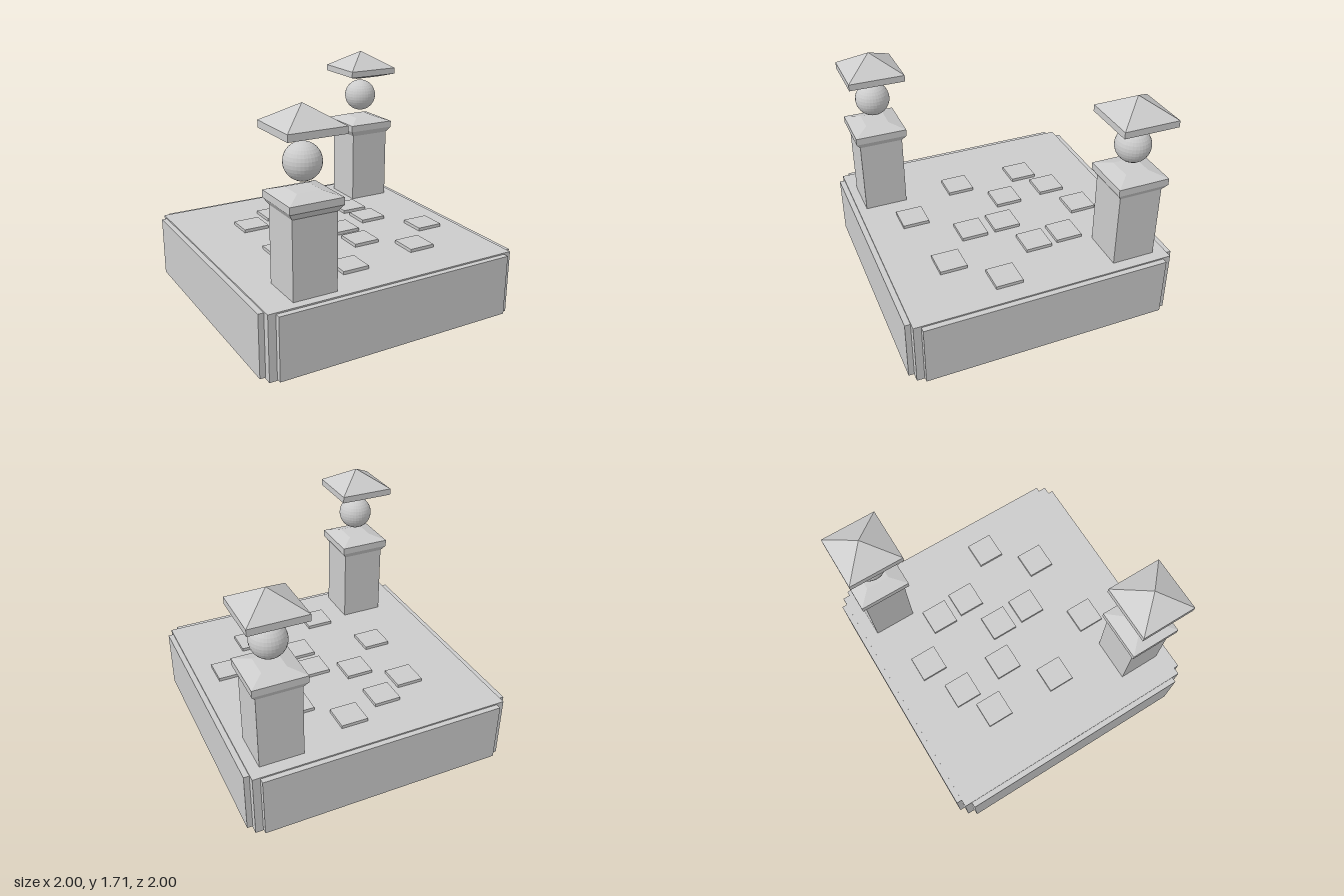
import * as THREE from 'three';

const material = new THREE.MeshStandardMaterial({ color: 0xcccccc, flatShading: true });

function add(parent, name, geometry, x = 0, y = 0, z = 0) {
  const mesh = new THREE.Mesh(geometry, material);
  mesh.name = name;
  mesh.position.set(x, y, z);
  parent.add(mesh);
  return mesh;
}

// Square solid from [half width, height] pairs, listed bottom to top
function squareProfile(pairs) {
  const points = pairs.map(([half, y]) => new THREE.Vector2(half * Math.SQRT2, y));
  return new THREE.LatheGeometry(points, 4, Math.PI / 4);
}

function createPillar(name, x, z) {
  const pillar = new THREE.Group();
  pillar.name = name;
  pillar.position.set(x, 0, z);
  add(pillar, 'shaft', new THREE.BoxGeometry(0.32, 0.56, 0.32), 0, 0.765, 0);
  // Capital flares out, then slopes in to a small flat top
  add(pillar, 'capital', squareProfile([
    [0, 1.04], [0.16, 1.04], [0.19, 1.085], [0.19, 1.135], [0.085, 1.17], [0, 1.17],
  ]));
  add(pillar, 'ball', new THREE.SphereGeometry(0.126, 32, 16), 0, 1.345, 0);
  // Floating pyramid roof with a bevelled underside
  add(pillar, 'roof', squareProfile([
    [0, 1.505], [0.1, 1.505], [0.203, 1.537], [0.203, 1.585], [0, 1.712],
  ]));
  return pillar;
}

export function createModel() {
  const model = new THREE.Group();
  model.name = 'pillaredPlatform';

  // Base block with a raised panel on each side and underneath
  add(model, 'base', new THREE.BoxGeometry(1.92, 0.475, 1.92), 0, 0.2525, 0);
  for (const s of [-1, 1]) {
    add(model, 'sidePanel', new THREE.BoxGeometry(0.06, 0.455, 1.81), s * 0.97, 0.2525, 0);
    add(model, 'endPanel', new THREE.BoxGeometry(1.81, 0.455, 0.06), 0, 0.2525, s * 0.97);
  }
  add(model, 'bottomPanel', new THREE.BoxGeometry(1.81, 0.04, 1.81), 0, 0.02, 0);

  // Scattered paving tiles
  const tiles = [
    [0.125, -0.645], [-0.195, -0.53], [-0.45, -0.4], [0.415, -0.38],
    [-0.165, -0.15], [0.435, -0.13], [0.125, -0.01], [-0.46, 0.14],
    [0.135, 0.25], [0.72, 0.225], [-0.175, 0.605], [0.43, 0.525],
  ];
  const tileGeometry = new THREE.BoxGeometry(0.2, 0.035, 0.2);
  for (const [x, z] of tiles) add(model, 'tile', tileGeometry, x, 0.4965, z);

  model.add(createPillar('frontPillar', -0.593, 0.735));
  model.add(createPillar('backPillar', 0.717, -0.705));
  return model;
}
